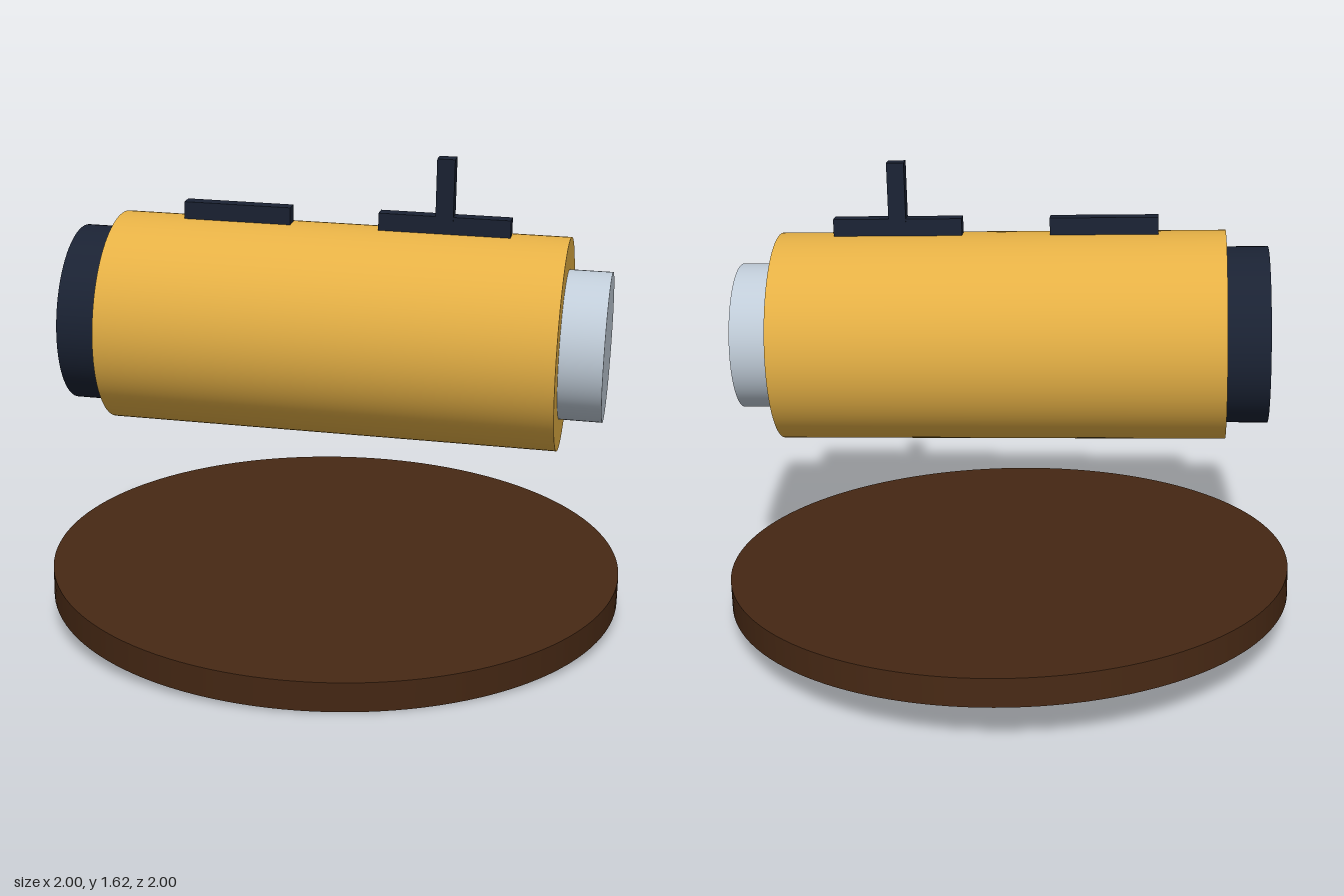
import * as THREE from 'three';

const paint = (color) => new THREE.MeshStandardMaterial({ color });

export function createModel() {
  const model = new THREE.Group();
  model.name = 'model';

  const amber = paint(0xe5b045);
  const navy = paint(0x1a2233);
  const silver = paint(0xc0ccd8);
  const brown = paint(0x462814);

  const add = (parent, name, geometry, material, x = 0, y = 0) => {
    const mesh = new THREE.Mesh(geometry, material);
    mesh.name = name;
    mesh.position.set(x, y, 0);
    parent.add(mesh);
    return mesh;
  };
  // Cylinder lying along x, between two stations
  const barrel = (parent, name, radius, x0, x1, material) =>
    add(parent, name,
      new THREE.CylinderGeometry(radius, radius, x1 - x0, 96).rotateZ(-Math.PI / 2),
      material, (x0 + x1) / 2);

  // Everything leans slightly forward with the base
  const tilted = new THREE.Group();
  tilted.name = 'tiltedAssembly';
  tilted.rotation.x = 0.083;
  tilted.position.y = 0.1325;
  model.add(tilted);

  add(tilted, 'baseDisc', new THREE.CylinderGeometry(1, 1, 0.1, 128), brown);

  // Floating drum, turned about the base's axis
  const drum = new THREE.Group();
  drum.name = 'drum';
  drum.position.y = 0.89;
  drum.rotation.y = -0.377;
  tilted.add(drum);

  barrel(drum, 'body', 0.361, -0.771, 0.771, amber);
  barrel(drum, 'rearCap', 0.304, -0.916, -0.7, navy);
  barrel(drum, 'frontLens', 0.253, 0.7, 0.916, silver);

  // Rails along the top, the front one carrying a post
  add(drum, 'rearRail', new THREE.BoxGeometry(0.37, 0.08, 0.053), navy, -0.357, 0.379);
  add(drum, 'frontRail', new THREE.BoxGeometry(0.445, 0.08, 0.053), navy, 0.353, 0.379);
  add(drum, 'post', new THREE.BoxGeometry(0.06, 0.24, 0.055), navy, 0.353, 0.493);

  return model;
}
